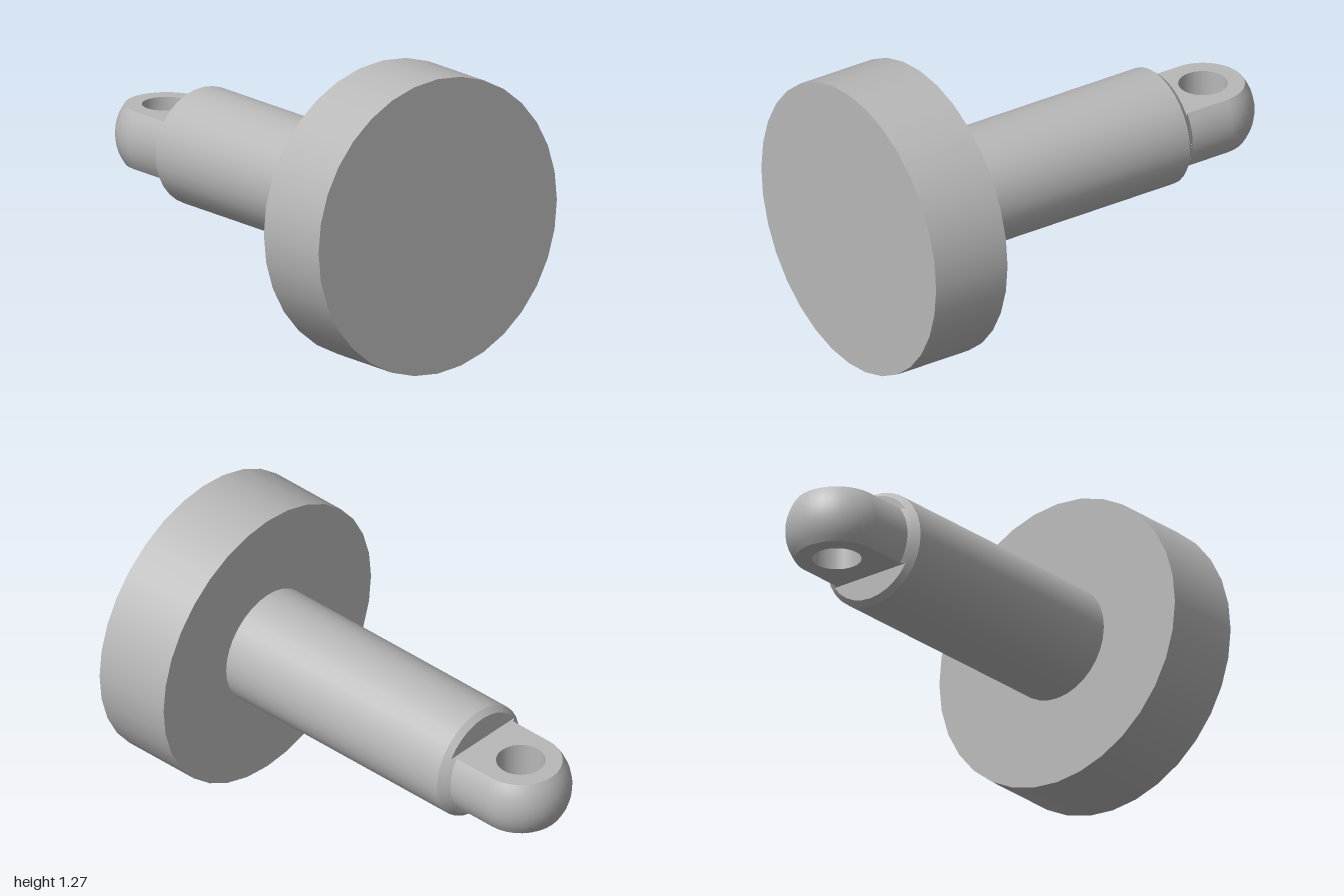
import * as THREE from 'three';

const AXIS_Y = 0.635;            // height of the common axis
const EYE_X = -0.785;            // centre of the eye hole
const EYE_R = 0.214;             // radius of the rounded eye
const HALF = 0.125;              // half thickness of the eye
const HOLE_R = 0.103;
const NECK_X = -0.585, END_X = -0.57, END_R = 0.229;

export function createModel() {
  const model = new THREE.Group();
  const steel = new THREE.MeshStandardMaterial({ color: 0xb8b8b8 });
  steel.name = 'grey steel';

  const add = (name, geometry, parent) => {
    const mesh = new THREE.Mesh(geometry, steel);
    mesh.name = name;
    parent.add(mesh);
    return mesh;
  };

  // Round section along x from x0 (radius r0) to x1 (radius r1)
  const round = (name, x0, r0, x1, r1, open) => {
    const g = new THREE.CylinderGeometry(r1, r0, x1 - x0, 32, 1, open);
    g.rotateZ(-Math.PI / 2);
    g.translate((x0 + x1) / 2, AXIS_Y, 0);
    add(name, g, model);
  };
  round('headDisc', 0.64, 0.635, 1, 0.635, false);
  round('shaft', -0.545, 0.252, 0.64, 0.252, true);
  round('shaftChamfer', END_X, END_R, -0.545, 0.252, false);

  const eye = new THREE.Group();
  eye.name = 'eye';
  eye.position.y = AXIS_Y;
  model.add(eye);

  // Spherical nose, cut flat above and below
  const nose = [];
  for (let i = 0; i <= 10; i++) {
    const y = -HALF + (2 * HALF * i) / 10;
    nose.push(new THREE.Vector2(Math.sqrt(EYE_R ** 2 - y * y), y));
  }
  add('eyeNose', new THREE.LatheGeometry(nose, 16, Math.PI, Math.PI), eye).position.x = EYE_X;

  // Curved cheeks on both sides, flaring where they meet the shaft
  const cheek = (name, x0, r0, x1, r1) => {
    const g = new THREE.PlaneGeometry(x1 - x0, 2 * HALF, 1, 10);
    g.translate((x0 + x1) / 2, 0, 0);
    const p = g.attributes.position;
    for (let i = 0; i < p.count; i++) {
      const r = r0 + ((r1 - r0) * (p.getX(i) - x0)) / (x1 - x0);
      p.setZ(i, Math.sqrt(r * r - p.getY(i) ** 2));
    }
    g.computeVertexNormals();
    add(name, g, eye);
    add(name, g, eye).rotation.x = Math.PI;
  };
  cheek('eyeCheek', EYE_X, EYE_R, NECK_X, EYE_R);
  cheek('eyeNeck', NECK_X, EYE_R, END_X, END_R);

  // Flat faces above and below, with the hole
  const w = Math.sqrt(EYE_R ** 2 - HALF ** 2);
  const wEnd = Math.sqrt(END_R ** 2 - HALF ** 2);
  const face = new THREE.Shape();
  face.moveTo(END_X, -wEnd);
  face.lineTo(END_X, wEnd);
  face.lineTo(NECK_X, w);
  face.lineTo(EYE_X, w);
  face.absarc(EYE_X, 0, w, Math.PI / 2, Math.PI * 1.5, false);
  face.lineTo(NECK_X, -w);
  face.holes.push(new THREE.Path().absarc(EYE_X, 0, HOLE_R, 0, Math.PI * 2, true));
  for (const side of [1, -1]) {
    const g = new THREE.ShapeGeometry(face, 16);
    g.rotateX((-side * Math.PI) / 2);
    g.translate(0, side * HALF, 0);
    add(side > 0 ? 'eyeTopFace' : 'eyeBottomFace', g, eye);
  }

  // Inner wall of the hole, facing inward
  const wall = [new THREE.Vector2(HOLE_R, HALF), new THREE.Vector2(HOLE_R, -HALF)];
  add('eyeHoleWall', new THREE.LatheGeometry(wall, 32), eye).position.x = EYE_X;

  return model;
}
